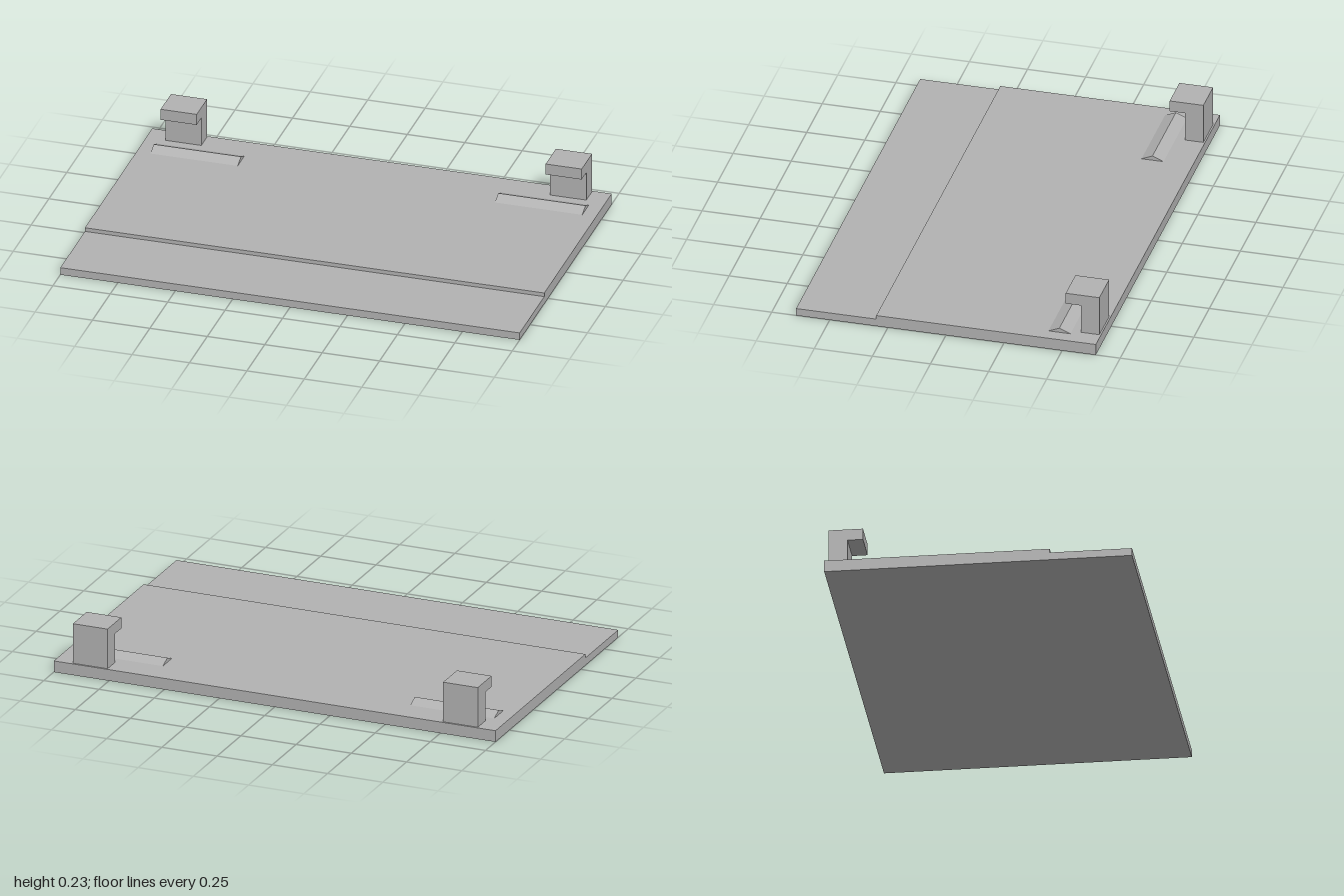
import * as THREE from 'three';

const grey = new THREE.MeshStandardMaterial({ color: 0xb2b2b2 });
grey.name = 'plain grey';

// Extrudes a side profile of [z, y] points along x, centred on the given x
function profileMesh(name, points, width, x) {
  const shape = new THREE.Shape(points.map(([z, y]) => new THREE.Vector2(z, y)));
  const geometry = new THREE.ExtrudeGeometry(shape, { depth: width, bevelEnabled: false });
  geometry.translate(0, 0, -width / 2);
  geometry.rotateY(-Math.PI / 2);
  const mesh = new THREE.Mesh(geometry, grey);
  mesh.name = name;
  mesh.position.x = x;
  return mesh;
}

export function createModel() {
  const model = new THREE.Group();
  model.name = 'steppedPlateWithClips';

  // Base plate with a thinner front strip
  model.add(profileMesh('basePlate', [
    [-0.645, 0], [0.645, 0], [0.645, 0.033], [0.3, 0.033], [0.3, 0.05], [-0.645, 0.05],
  ], 2, 0));

  for (const [side, s] of [['left', 1], ['right', -1]]) {
    // Upright clip with a lip overhanging towards the front
    model.add(profileMesh(side + 'Clip', [
      [-0.638, 0.05], [-0.558, 0.05], [-0.558, 0.178], [-0.493, 0.178], [-0.493, 0.227], [-0.638, 0.227],
    ], 0.157, s * 0.838));

    // Low triangular ridge in front of the clip
    model.add(profileMesh(side + 'Ridge', [
      [-0.52, 0.05], [-0.425, 0.05], [-0.472, 0.07],
    ], 0.38, s * 0.75));
  }
  return model;
}
